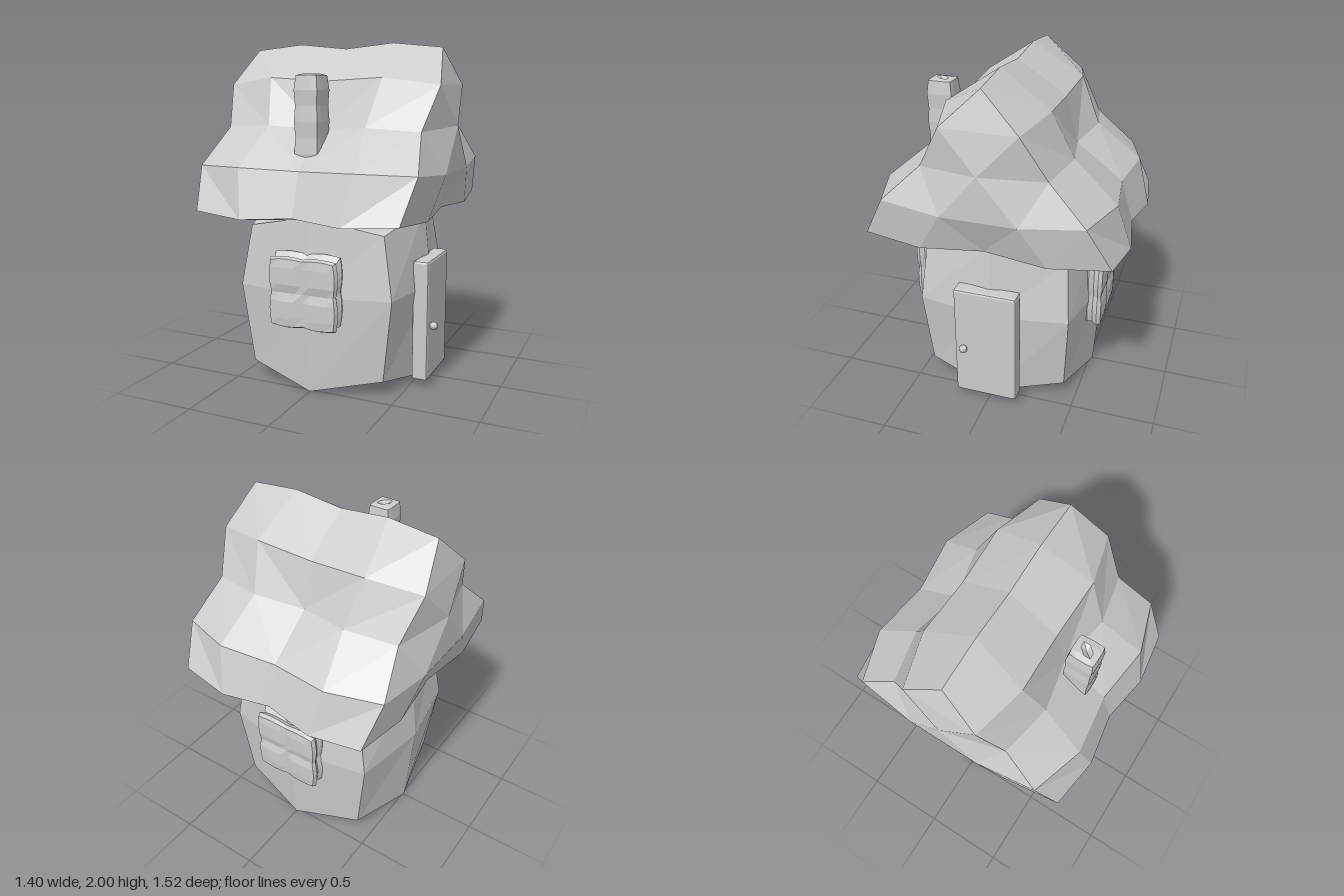
import * as THREE from 'three';
import { RoundedBoxGeometry } from 'three/addons/geometries/RoundedBoxGeometry.js';

const material = new THREE.MeshStandardMaterial({ color: 0xcccccc, flatShading: true });

function addMesh(parent, name, geometry) {
  const mesh = new THREE.Mesh(geometry, material);
  mesh.name = name;
  parent.add(mesh);
  return mesh;
}

// Moves every vertex of a geometry by a rule and makes it faceted
function reshape(source, rule) {
  const p = source.attributes.position;
  for (let i = 0; i < p.count; i++) p.setXYZ(i, ...rule(p.getX(i), p.getY(i), p.getZ(i)));
  const g = source.toNonIndexed();
  g.computeVertexNormals();
  return g;
}

// Walls: a 2x2x2 box bulging outward at edge and face middles
function wallGeometry() {
  return reshape(new THREE.BoxGeometry(2, 2, 2, 2, 2, 2), (x, y, z) => {
    const sx = Math.round(x), sy = Math.round(y), sz = Math.round(z);
    if (sy === 0) {
      return sx && sz ? [0.48 * sx, 0.58, 0.46 * sz] : [0.56 * sx, 0.58, 0.56 * sz];
    }
    if (sx && sz) return [0.42 * sx, sy < 0 ? 0.095 : 0.94, 0.43 * sz];
    if (!sx && !sz) return [0, sy < 0 ? 0 : 1.04, 0];
    return [0.51 * sx, sy < 0 ? 0 : 1.03, 0.52 * sz];
  });
}

// Roof: a triangular prism with four divisions per side and rippled rows
function roofGeometry() {
  // each slope row: [x, y, z] at the gable, at the quarter and at the middle
  const rows = [
    [[0.6, 1.97, 0], [0.3, 2, 0], [0, 1.97, 0]],
    [[0.66, 1.76, 0.22], [0.35, 1.8, 0.3], [0, 1.78, 0.29]],
    [[0.6, 1.51, 0.36], [0.3, 1.53, 0.42], [0, 1.51, 0.36]],
    [[0.66, 1.3, 0.58], [0.35, 1.31, 0.68], [0, 1.3, 0.635]],
    [[0.61, 1.055, 0.715], [0.3, 1.035, 0.76], [0, 1.055, 0.71]],
  ];
  const eave = [
    [[0.65, 1.03, 0.37], [0.34, 0.97, 0.37], [0, 0.99, 0.37]],
    [[0.61, 1.05, 0], [0.34, 0.99, 0], [0, 1.02, 0]],
  ];
  const mirror = (p, sx, sz) => [p[0] * sx, p[1], p[2] * sz];
  const full = (row, sz) => [
    ...row.map((p) => mirror(p, -1, sz)),
    mirror(row[1], 1, sz), mirror(row[0], 1, sz),
  ];
  const out = [];
  const tri = (a, b, c, flip) => out.push(...a, ...(flip ? c : b), ...(flip ? b : c));
  const grid = (g, flip) => {
    for (let i = 0; i < 4; i++) for (let j = 0; j < 4; j++) {
      const a = g[i][j], b = g[i + 1][j], c = g[i + 1][j + 1], d = g[i][j + 1];
      if (j < 2) { tri(a, b, c, flip); tri(a, c, d, flip); }
      else { tri(a, b, d, flip); tri(b, c, d, flip); }
    }
  };

  // two slopes and the underside
  grid(rows.map((r) => full(r, 1)), false);
  grid(rows.map((r) => full(r, -1)), true);
  grid([full(rows[4], 1), full(eave[0], 1), full(eave[1], 1), full(eave[0], -1), full(rows[4], -1)], false);

  // two gables, each a triangle split into four rows
  const inner = [[], [], [[0.7, 1.53, 0]], [[0.7, 1.27, 0.22], [0.7, 1.27, -0.22]],
    [eave[0][0], eave[1][0], mirror(eave[0][0], 1, -1)]];
  for (const s of [1, -1]) {
    const t = rows.map((r, i) => (i ? [r[0], ...inner[i], mirror(r[0], 1, -1)] : [r[0]])
      .map((p) => mirror(p, s, 1)));
    for (let r = 0; r < 4; r++) for (let k = 0; k <= r; k++) {
      tri(t[r][k], t[r + 1][k], t[r + 1][k + 1], s < 0);
      if (k < r) tri(t[r][k], t[r + 1][k + 1], t[r][k + 1], s < 0);
    }
  }
  const g = new THREE.BufferGeometry();
  g.setAttribute('position', new THREE.Float32BufferAttribute(out, 3));
  g.computeVertexNormals();
  return g;
}

// Chimney: a slim stack with wavy sides and a chamfered, dished top
function chimneyGeometry() {
  return reshape(new THREE.BoxGeometry(2, 6, 2, 4, 6, 4), (x, y, z) => {
    const row = Math.round(y + 3);
    const width = [0.068, 0.075, 0.07, 0.075, 0.07, 0.075, 0.066][row];
    const edge = Math.max(Math.abs(x), Math.abs(z));
    const corner = Math.abs(x) > 0.9 && Math.abs(z) > 0.9 ? 0.94 : 1;
    const dip = row < 6 ? 0 : edge > 0.9 ? 0.008 : edge > 0.4 ? 0 : 0.02;
    return [x * width * corner, 1.3 + row * 0.52 / 6 - dip, z * width * 1.1 * corner];
  });
}

// Window: four pillowed panes in front of a matching backing layer
function windowGeometry() {
  return reshape(new THREE.BoxGeometry(4, 4, 4, 8, 8, 4), (x, y, z) => {
    const layer = Math.round(z + 2);
    const size = [0.95, 1, 0.93, 1, 0.95][layer];
    const wave = (t) => 0.95 + 0.05 * Math.sin(Math.abs(t) * Math.PI / 2);
    const cross = Math.abs(x) < 0.1 || Math.abs(y) < 0.1;
    const rim = Math.max(Math.abs(x), Math.abs(y)) > 1.9;
    const depth = z * 0.029 - (layer === 4 ? (cross ? 0.012 : rim ? 0.006 : 0) : 0);
    return [
      x * 0.107 * size * wave(y),
      y * 0.104 * size * wave(x) + (layer < 2 ? 0.015 : -0.004),
      depth,
    ];
  });
}

export function createModel() {
  const cottage = new THREE.Group();
  cottage.name = 'cottage';

  addMesh(cottage, 'walls', wallGeometry());
  addMesh(cottage, 'roof', roofGeometry());
  addMesh(cottage, 'chimney', chimneyGeometry()).position.z = 0.465;

  // Windows on the front and back
  const pane = windowGeometry();
  addMesh(cottage, 'frontWindow', pane).position.set(0, 0.61, 0.562);
  const back = addMesh(cottage, 'backWindow', pane);
  back.position.set(0, 0.61, -0.54);
  back.rotation.y = Math.PI;

  // Door with its knob on the left side
  const door = new THREE.Group();
  door.name = 'door';
  door.position.set(0.557, 0.4, 0.01);
  addMesh(door, 'doorPanel', new RoundedBoxGeometry(0.095, 0.72, 0.38, 1, 0.014));
  addMesh(door, 'doorKnob', new THREE.IcosahedronGeometry(0.025, 1)).position.set(0.068, -0.033, 0.13);
  cottage.add(door);

  return cottage;
}
